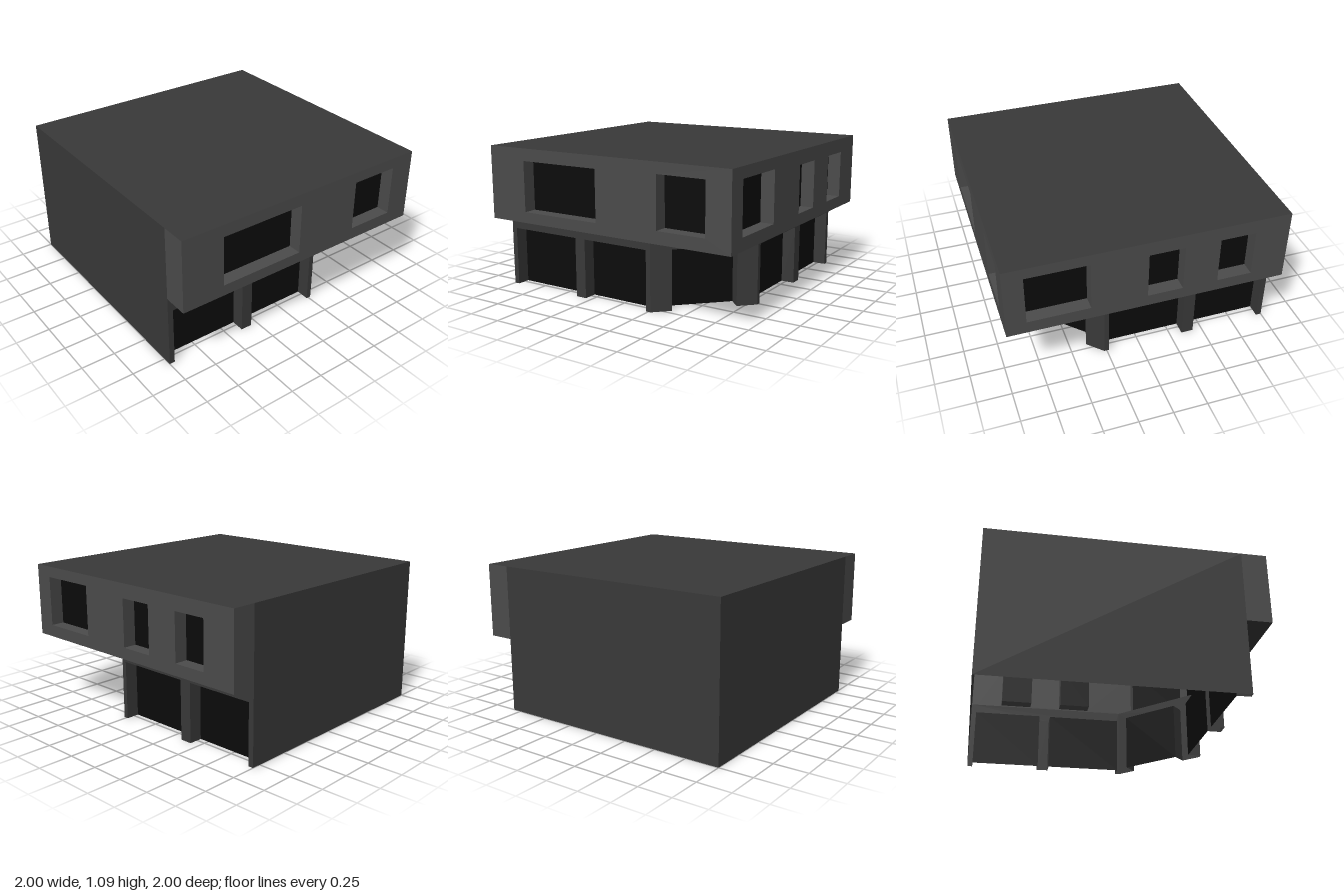
import * as THREE from 'three';

const paint = (color) => new THREE.MeshStandardMaterial({ color, side: THREE.DoubleSide });
const upperPaint = paint(0x4b4b4b);
const lowerPaint = paint(0x393939);
const glassPaint = paint(0x0b0b0b);

const FLOOR = 0.55, TOP = 1.09; // underside of upper storey, roof height
const SET = 0.815, CUT = 0.27;  // set-back of the ground floor, start of its cut corner
const DEPTH = 0.1;              // depth of the window recesses

function addMesh(parent, name, geometry, material) {
  const mesh = new THREE.Mesh(geometry, material);
  mesh.name = name;
  parent.add(mesh);
  return mesh;
}

const outline = (points) => new THREE.Shape(points.map(([x, y]) => new THREE.Vector2(x, y)));

// Recess behind an opening: jambs, head, optional sill and the pane
function addRecess(wall, name, [x0, x1, y0, y1], depth, material) {
  const w = x1 - x0, h = y1 - y0, cx = (x0 + x1) / 2, cy = (y0 + y1) / 2;
  for (const [x, turn] of [[x0, 1], [x1, -1]]) {
    const jamb = addMesh(wall, name + 'Jamb', new THREE.PlaneGeometry(depth, h), material);
    jamb.rotation.y = turn * Math.PI / 2;
    jamb.position.set(x, cy, -depth / 2);
  }
  const levels = y0 > 0 ? [[y1, 1, 'Head'], [y0, -1, 'Sill']] : [[y1, 1, 'Head']];
  for (const [y, turn, part] of levels) {
    const ledge = addMesh(wall, name + part, new THREE.PlaneGeometry(w, depth), material);
    ledge.rotation.x = turn * Math.PI / 2;
    ledge.position.set(cx, y, -depth / 2);
  }
  addMesh(wall, name + 'Glass', new THREE.PlaneGeometry(w, h), glassPaint).position.set(cx, cy, -depth);
}

// Flat wall facing local +z; openings [x0, x1, y0, y1] run left to right.
// Openings at ground level notch the outline, the others become holes.
function addWall(parent, name, { x0, x1, y0, y1, material, openings = [], depth = DEPTH, pane = 'window' }) {
  const wall = new THREE.Group();
  wall.name = name;
  const points = [[x0, y0]];
  for (const [a, b, c, d] of openings) {
    if (c === 0) points.push([a, 0], [a, d], [b, d], [b, 0]);
  }
  points.push([x1, y0], [x1, y1], [x0, y1]);
  const shape = outline(points);
  for (const [a, b, c, d] of openings) {
    if (c > 0) shape.holes.push(outline([[a, c], [a, d], [b, d], [b, c]]));
  }
  addMesh(wall, name + 'Face', new THREE.ShapeGeometry(shape), material);
  openings.forEach((o) => addRecess(wall, pane, o, depth, material));
  parent.add(wall);
  return wall;
}

// Horizontal sheet from [x, z] corners
function addSheet(parent, name, corners, y, turn, material) {
  const geometry = new THREE.ShapeGeometry(outline(corners.map(([x, z]) => [x, -turn * z])));
  const sheet = addMesh(parent, name, geometry, material);
  sheet.rotation.x = -turn * Math.PI / 2;
  sheet.position.y = y;
}

export function createModel() {
  const model = new THREE.Group();
  model.name = 'cornerBuilding';
  const upper = { y0: FLOOR, y1: TOP, material: upperPaint };
  const lower = { y0: 0, y1: FLOOR, material: lowerPaint };

  // Upper storey, street sides
  const front = addWall(model, 'upperFrontWall', {
    ...upper, x0: -1, x1: 1,
    openings: [[-0.685, -0.045, 0.63, 1.0], [0.45, 0.815, 0.64, 1.01]],
  });
  front.position.z = 1;
  const side = addWall(model, 'upperSideWall', {
    ...upper, x0: -1, x1: 1,
    openings: [[-0.86, -0.42, 0.64, 1.01], [-0.02, 0.235, 0.635, 0.985], [0.49, 0.745, 0.635, 0.985]],
  });
  side.rotation.y = Math.PI / 2;
  side.position.x = 1;

  // Ground floor shop fronts
  const shopFront = addWall(model, 'shopFrontWall', {
    ...lower, x0: -1, x1: CUT, pane: 'shopWindow',
    openings: [[-0.96, -0.385, 0, 0.44], [-0.30, 0.235, 0, 0.44]],
  });
  shopFront.position.z = SET;
  const shopSide = addWall(model, 'shopSideWall', {
    ...lower, x0: -CUT, x1: 1, pane: 'shopWindow',
    openings: [[-0.235, 0.34, 0, 0.44], [0.43, 0.96, 0, 0.44]],
  });
  shopSide.rotation.y = Math.PI / 2;
  shopSide.position.x = SET;

  // Cut corner with the entrance
  const half = (SET - CUT) / Math.SQRT2, mid = (SET + CUT) / 2;
  const corner = addWall(model, 'entranceWall', {
    ...lower, x0: -half, x1: half, depth: 0.11, pane: 'door',
    openings: [[-0.233, 0.233, 0, 0.44]],
  });
  corner.rotation.y = Math.PI / 4;
  corner.position.set(mid, 0, mid);

  // Blank party walls, full height, each with the end of the overhang beside it
  for (const [name, turn, sign] of [['back', Math.PI, -1], ['left', -Math.PI / 2, 1]]) {
    const party = new THREE.Group();
    party.name = name + 'PartyWall';
    const span = (a, b) => (sign > 0 ? { x0: a, x1: b } : { x0: -b, x1: -a });
    addWall(party, name + 'Wall', { ...span(-1, SET), y0: 0, y1: TOP, material: lowerPaint });
    addWall(party, name + 'OverhangEnd', { ...upper, ...span(SET, 1) });
    party.children.forEach((wall) => { wall.position.z = 1; });
    party.rotation.y = turn;
    model.add(party);
  }

  // Flat roof and the underside of the overhang
  addSheet(model, 'roof', [[-1, 1], [1, 1], [1, -1], [-1, -1]], TOP, 1, lowerPaint);
  addSheet(model, 'overhangSoffit',
    [[-1, 1], [1, 1], [1, -1], [SET, -1], [SET, CUT], [CUT, SET], [-1, SET]], FLOOR, -1, lowerPaint);

  return model;
}
